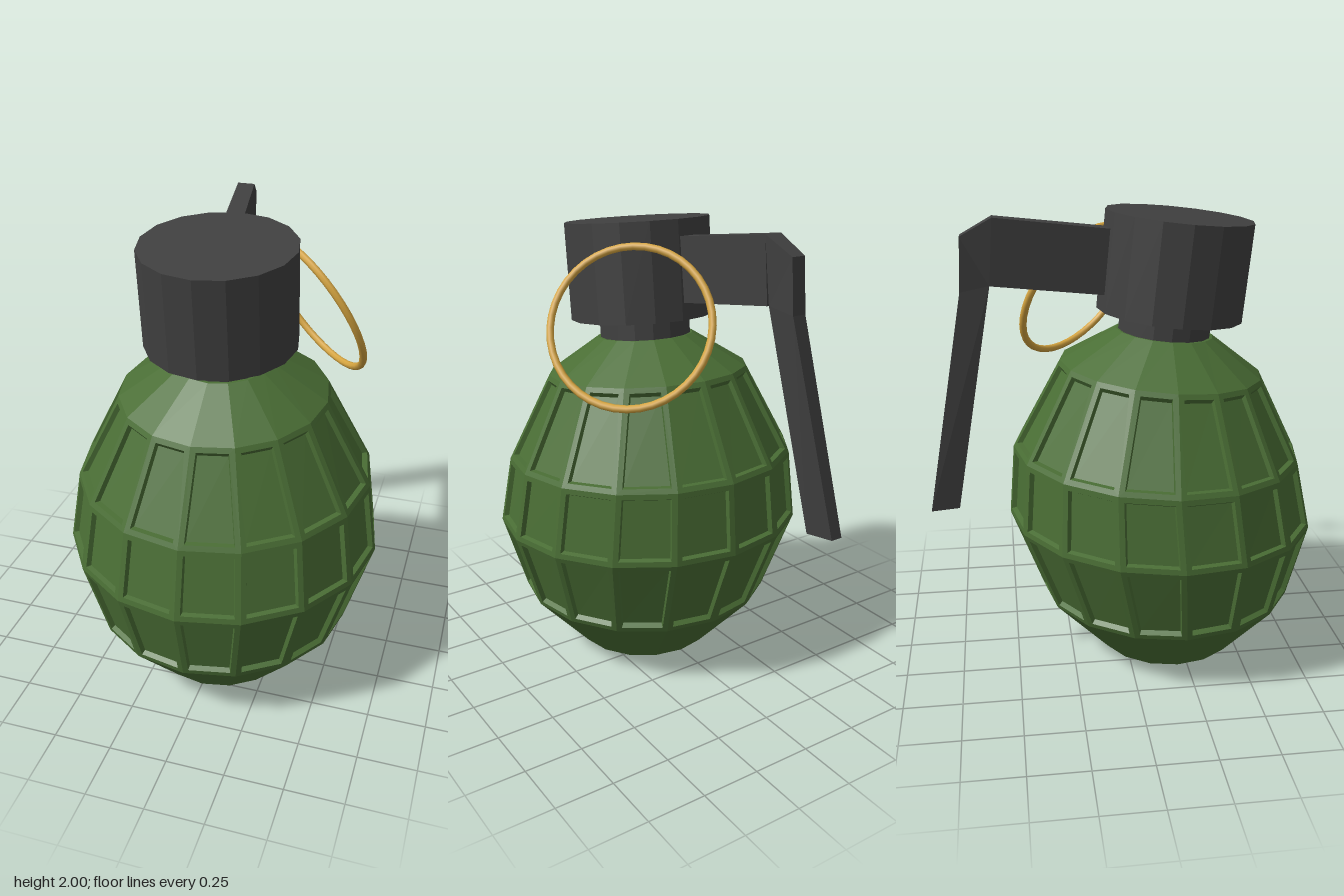
import * as THREE from 'three';

const GREEN = 0x4a6e35, DARK = 0x404040, GOLD = 0xd6a540;
const SIDES = 16;

const material = (color, flatShading = true) =>
  new THREE.MeshStandardMaterial({ color, flatShading });

function mesh(name, geometry, mat) {
  const m = new THREE.Mesh(geometry, mat);
  m.name = name;
  return m;
}

// Collects flat quads and triangles, corners counter-clockwise from outside
function faceBuilder() {
  const pos = [];
  const tri = (a, b, c) => [a, b, c].forEach(p => pos.push(p.x, p.y, p.z));
  const quad = (a, b, c, d) => { tri(a, b, c); tri(a, c, d); };
  const build = () => {
    const g = new THREE.BufferGeometry();
    g.setAttribute('position', new THREE.Float32BufferAttribute(pos, 3));
    g.computeVertexNormals();
    return g;
  };
  return { tri, quad, build };
}

// A quad with a recessed panel inside a raised frame
function recessedQuad(faces, corners, margin, depth) {
  const [a, b, c, d] = corners;
  const normal = b.clone().sub(a).cross(d.clone().sub(a)).normalize();
  const height = (a.distanceTo(d) + b.distanceTo(c)) / 2;
  const mv = margin / height;
  const at = (u, v) => a.clone().lerp(b, u).lerp(d.clone().lerp(c, u), v);
  const ub = margin / a.distanceTo(b), ut = margin / d.distanceTo(c);
  const rim = [at(ub, mv), at(1 - ub, mv), at(1 - ut, 1 - mv), at(ut, 1 - mv)];
  const mid = rim.reduce((s, p) => s.add(p), new THREE.Vector3()).multiplyScalar(0.25);
  const floor = rim.map(p => p.clone().lerp(mid, 0.06).addScaledVector(normal, -depth));
  for (let i = 0; i < 4; i++) {
    const j = (i + 1) % 4;
    faces.quad(corners[i], corners[j], rim[j], rim[i]);
    faces.quad(rim[i], rim[j], floor[j], floor[i]);
  }
  faces.quad(...floor);
}

// Faceted body: rings of [height, radius, centre z, forward tilt]
function bodyGeometry() {
  const rings = [
    [0.005, 0.32, 0.208, 0],
    [0.28, 0.565, 0.2, 0],
    [0.645, 0.68, 0.168, 0.03],
    [0.95, 0.635, 0.148, 0.045],
    [1.325, 0.44, 0.165, 0.09],
    [1.475, 0.21, 0.18, 0.1],
  ];
  const point = (ring, i) => {
    const [y, r, cz, tilt] = rings[ring];
    const a = (i / SIDES) * Math.PI * 2;
    const dz = r * Math.cos(a);
    return new THREE.Vector3(r * Math.sin(a), y - tilt * dz, cz + dz);
  };
  const faces = faceBuilder();
  const last = rings.length - 1;
  const bottom = new THREE.Vector3(0, rings[0][0], rings[0][2]);
  const top = new THREE.Vector3(0, rings[last][0], rings[last][2]);
  for (let i = 0; i < SIDES; i++) {
    for (let k = 0; k < last; k++) {
      const corners = [point(k, i), point(k, i + 1), point(k + 1, i + 1), point(k + 1, i)];
      if (k >= 1 && k <= 3) recessedQuad(faces, corners, 0.023, 0.02);
      else faces.quad(...corners);
    }
    faces.tri(bottom, point(0, i + 1), point(0, i));
    faces.tri(top, point(last, i), point(last, i + 1));
  }
  return faces.build();
}

// Bent lever: stations of outer edge, inner edge [x, y, z] and half thickness
function leverGeometry() {
  const stations = [
    [[-0.03, 1.915, 0.05], [-0.03, 1.64, 0.05], 0.043],
    [[-0.115, 1.99, -0.54], [-0.12, 1.72, -0.56], 0.038],
    [[-0.133, 1.92, -0.67], [-0.12, 1.72, -0.56], 0.03],
    [[-0.14, 1.7, -0.68], [-0.12, 1.72, -0.56], 0.03],
    [[-0.252, 0.805, -0.84], [-0.22, 0.8, -0.725], 0.026],
  ];
  const sections = stations.map(([o, n, h]) =>
    [[o, -h], [o, h], [n, h], [n, -h]].map(([p, dx]) =>
      new THREE.Vector3(p[0] + dx, p[1], p[2])));
  const faces = faceBuilder();
  for (let s = 0; s < sections.length - 1; s++) {
    const a = sections[s], b = sections[s + 1];
    for (let i = 0; i < 4; i++) {
      const j = (i + 1) % 4;
      faces.quad(a[i], a[j], b[j], b[i]);
    }
  }
  const [p, q, r, t] = sections[0];
  faces.quad(t, r, q, p);
  faces.quad(...sections[sections.length - 1]);
  return faces.build();
}

export function createModel() {
  const group = new THREE.Group();
  const dark = material(DARK);

  group.add(mesh('body', bodyGeometry(), material(GREEN)));

  // Neck and cap lean slightly forward
  const neck = mesh('neck', new THREE.CylinderGeometry(0.2, 0.2, 0.16, SIDES), dark);
  neck.position.set(0, 1.52, 0.182);
  neck.rotation.x = 0.1;
  const cap = mesh('cap', new THREE.CylinderGeometry(0.316, 0.316, 0.415, SIDES), dark);
  cap.position.set(0, 1.763, 0.22);
  cap.rotation.x = 0.1;
  group.add(neck, cap);

  group.add(mesh('lever', leverGeometry(), dark));

  // Pull ring hanging diagonally beside the cap
  const ring = mesh('pullRing', new THREE.TorusGeometry(0.331, 0.016, 8, 40), material(GOLD, false));
  ring.position.set(0.29, 1.61, -0.165);
  ring.quaternion.setFromUnitVectors(
    new THREE.Vector3(0, 0, 1), new THREE.Vector3(0.64, 0.456, -0.62).normalize());
  group.add(ring);

  return group;
}
